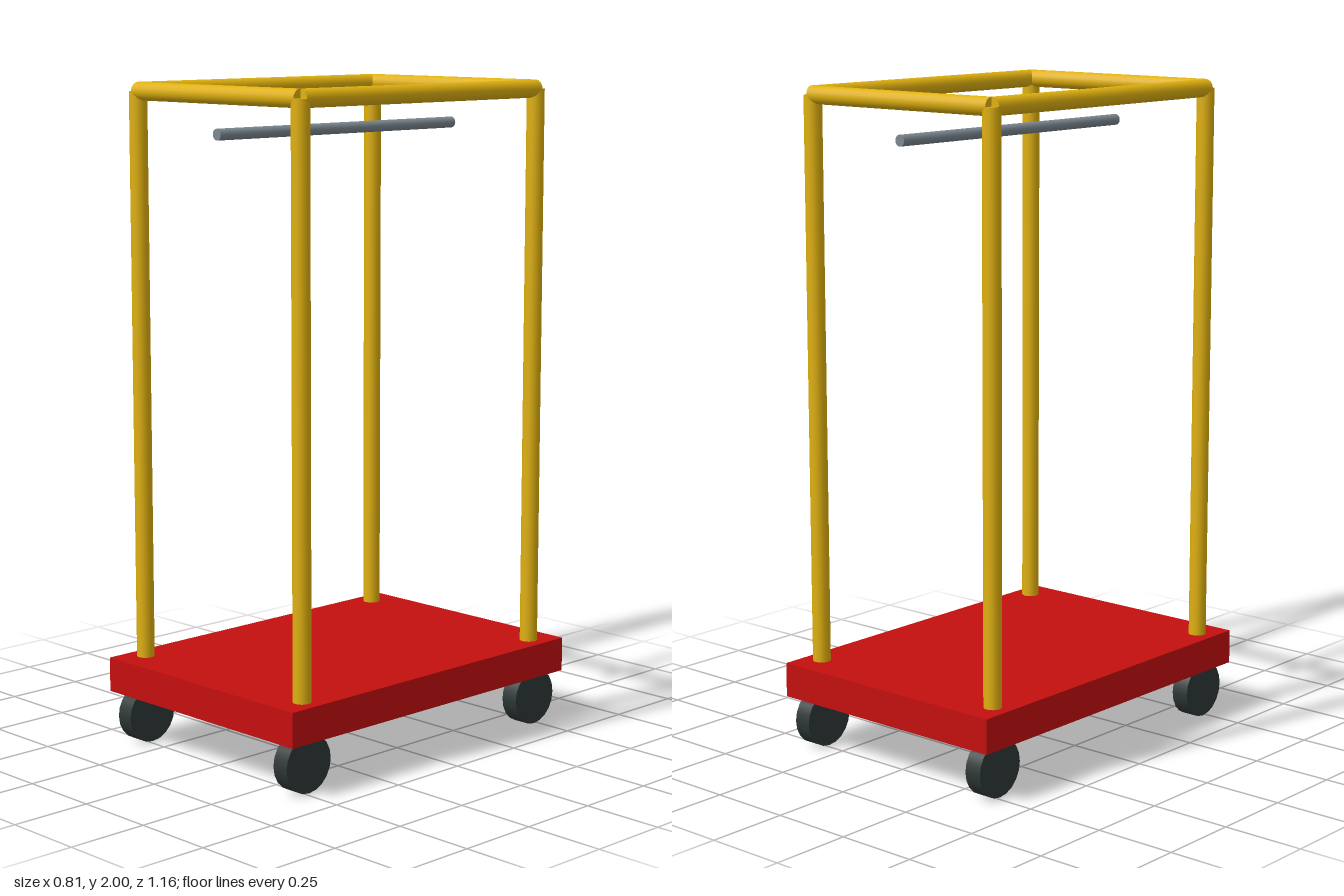
import * as THREE from 'three';

const red = new THREE.MeshStandardMaterial({ name: 'red deck', color: 0xc40f0f });
const yellow = new THREE.MeshStandardMaterial({ name: 'yellow tube', color: 0xdfb00f });
const steel = new THREE.MeshStandardMaterial({ name: 'grey steel', color: 0x7c8891 });
const rubber = new THREE.MeshStandardMaterial({ name: 'dark rubber', color: 0x2d3636 });

const X = 0.346, Z = 0.487;               // frame axes
const TUBE = 0.027, TOP = 2 - TUBE;       // frame tube radius, rail height
const DECK_BOTTOM = 0.16, DECK_TOP = 0.265;

export function createModel() {
  const group = new THREE.Group();
  group.name = 'luggageCart';

  // Capped cylinder along one axis, centred on a point
  const rod = (name, material, axis, radius, length, x, y, z, sides = 16) => {
    const geometry = new THREE.CylinderGeometry(radius, radius, length, sides);
    if (axis === 'x') geometry.rotateZ(Math.PI / 2);
    if (axis === 'z') geometry.rotateX(Math.PI / 2);
    const mesh = new THREE.Mesh(geometry, material);
    mesh.name = name;
    mesh.position.set(x, y, z);
    group.add(mesh);
  };

  // Platform
  const deck = new THREE.Mesh(new THREE.BoxGeometry(0.81, DECK_TOP - DECK_BOTTOM, 1.16), red);
  deck.name = 'deck';
  deck.position.y = (DECK_TOP + DECK_BOTTOM) / 2;
  group.add(deck);

  // Corner posts and wheels
  for (const sx of [-1, 1]) {
    for (const sz of [-1, 1]) {
      const corner = (sz > 0 ? 'front' : 'back') + (sx > 0 ? 'Left' : 'Right');
      rod(corner + 'Post', yellow, 'y', TUBE, TOP - DECK_TOP, sx * X, (TOP + DECK_TOP) / 2, sz * Z);
      rod(corner + 'Wheel', rubber, 'x', 0.087, 0.055, sx * X, 0.087, sz * Z, 20);
    }
  }

  // Top frame rails, meeting on the post axes
  for (const s of [-1, 1]) {
    rod(s > 0 ? 'frontRail' : 'backRail', yellow, 'x', TUBE, 2 * X, 0, TOP, s * Z);
    rod(s > 0 ? 'leftRail' : 'rightRail', yellow, 'z', TUBE, 2 * Z, s * X, TOP, 0);
  }

  // Hanging rod below the frame
  rod('hangingRod', steel, 'z', 0.017, 2 * Z, 0, 1.86, 0);

  return group;
}
